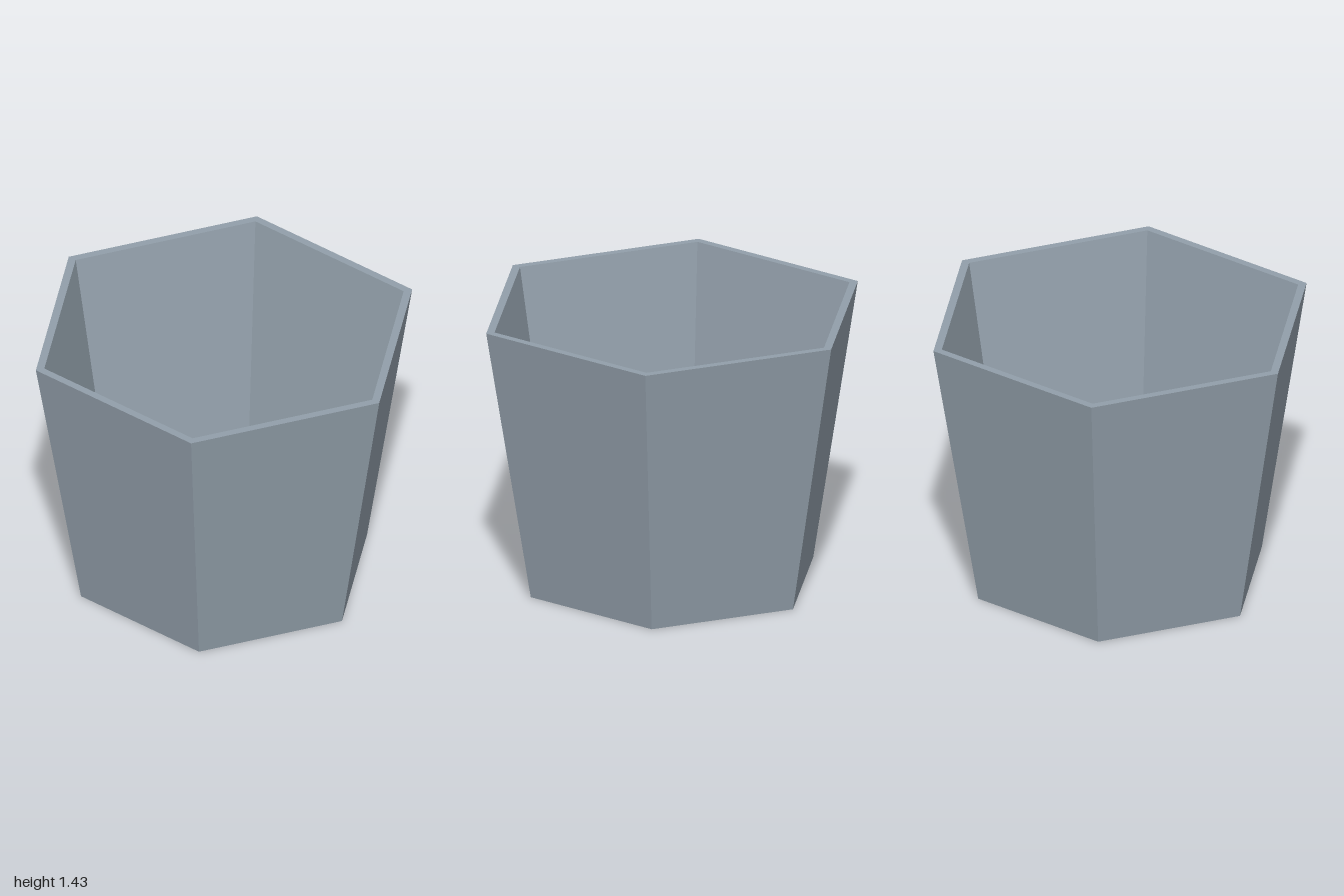
import * as THREE from 'three';

const HEIGHT = 1.43, FLOOR = 0.06, HOLE = 0.098;
const OUTER_BOTTOM = 0.76, OUTER_TOP = 1.0, INNER_BOTTOM = 0.725, INNER_TOP = 0.955;

// Revolve a profile of [radius, height] pairs
function revolve(profile, sides) {
  return new THREE.LatheGeometry(profile.map(([r, y]) => new THREE.Vector2(r, y)), sides);
}

// Flat hexagon with the round drain hole cut out
function hexagonWithHole(radius) {
  const corners = [];
  for (let i = 0; i < 6; i++) {
    const a = (i * Math.PI) / 3;
    corners.push(new THREE.Vector2(radius * Math.sin(a), radius * Math.cos(a)));
  }
  const shape = new THREE.Shape(corners);
  shape.holes.push(new THREE.Path().absarc(0, 0, HOLE, 0, Math.PI * 2, true));
  return new THREE.ShapeGeometry(shape, 24);
}

export function createModel() {
  const group = new THREE.Group();
  group.name = 'hexagonalPlanter';
  const material = new THREE.MeshStandardMaterial({ color: 0x929faa });
  material.name = 'blueGrey';

  const add = (name, geometry) => {
    const mesh = new THREE.Mesh(geometry, material);
    mesh.name = name;
    group.add(mesh);
  };

  // Tapered wall: outside, rim and inside in one faceted profile
  const wall = revolve([
    [OUTER_BOTTOM, 0], [OUTER_TOP, HEIGHT], [INNER_TOP, HEIGHT], [INNER_BOTTOM, FLOOR],
  ], 6).toNonIndexed();
  wall.computeVertexNormals();
  add('wall', wall);

  // Floor seen from inside, and underside
  add('floor', hexagonWithHole(INNER_BOTTOM).rotateX(-Math.PI / 2).translate(0, FLOOR, 0));
  add('underside', hexagonWithHole(OUTER_BOTTOM).rotateX(Math.PI / 2));

  // Inside of the drain hole, facing its axis
  add('drainHole', revolve([[HOLE, FLOOR], [HOLE, 0]], 48));

  return group;
}
